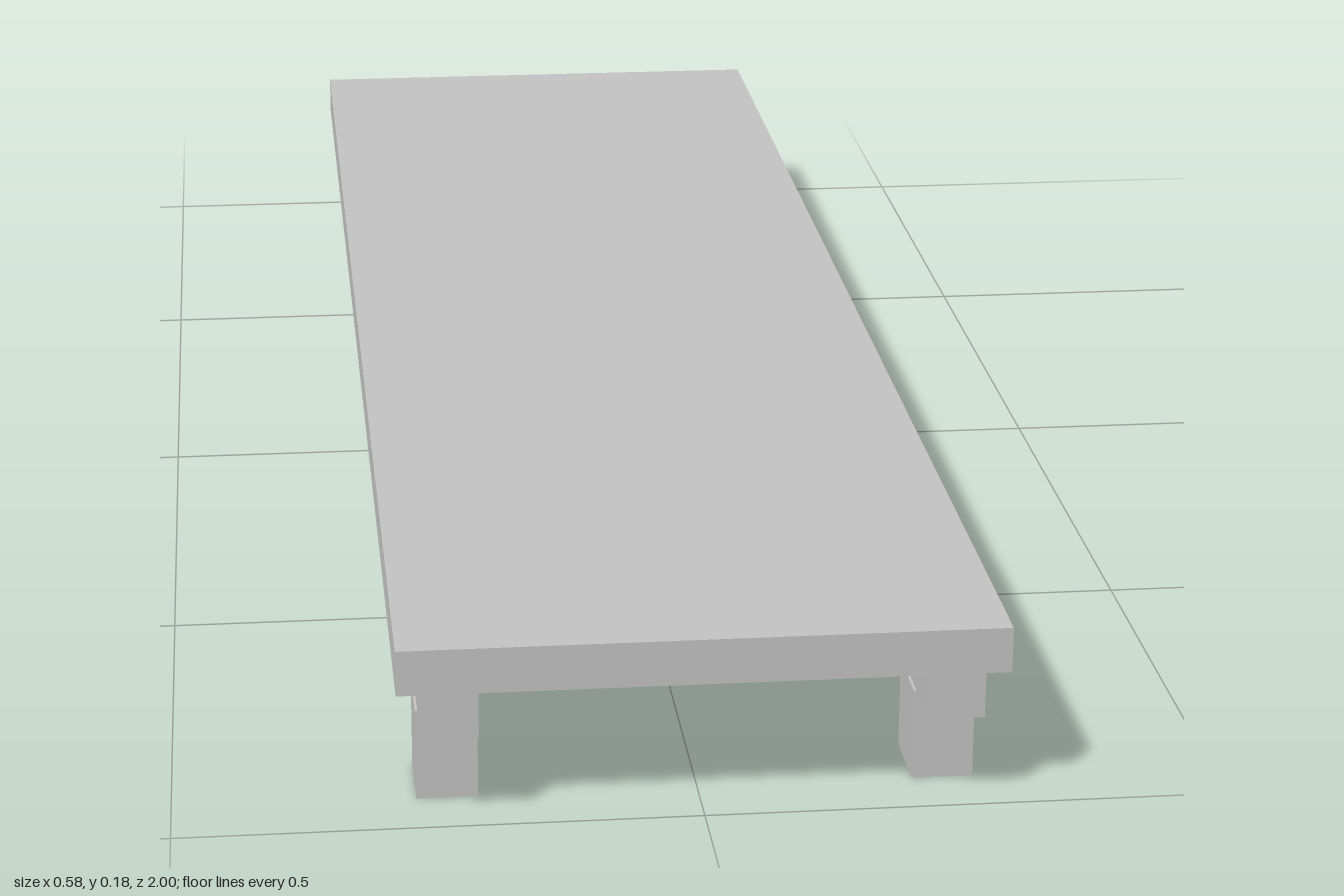
import * as THREE from 'three';

export function createModel() {
  const model = new THREE.Group();
  model.name = 'lowPlatform';
  const grey = new THREE.MeshStandardMaterial({ name: 'lightGrey', color: 0xc0c0c0 });

  // Box placed by its size, its bottom height and its centre in x and z
  const addBox = (name, [w, h, d], x, bottom, z) => {
    const mesh = new THREE.Mesh(new THREE.BoxGeometry(w, h, d), grey);
    mesh.name = name;
    mesh.position.set(x, bottom + h / 2, z);
    model.add(mesh);
  };

  // Flat deck
  addBox('deck', [0.577, 0.045, 2], 0, 0.135, 0);

  // A full-length rail on each side, carried by three short legs
  for (const [side, x] of [['left', 0.237], ['right', -0.239]]) {
    addBox(`${side}Rail`, [0.054, 0.045, 2], x, 0.09, 0);
    for (const [place, z] of [['Front', 0.9], ['Middle', 0.002], ['Back', -0.9]]) {
      addBox(`${side}${place}Leg`, [0.059, 0.091, 0.075], x, 0, z);
    }
  }
  return model;
}
